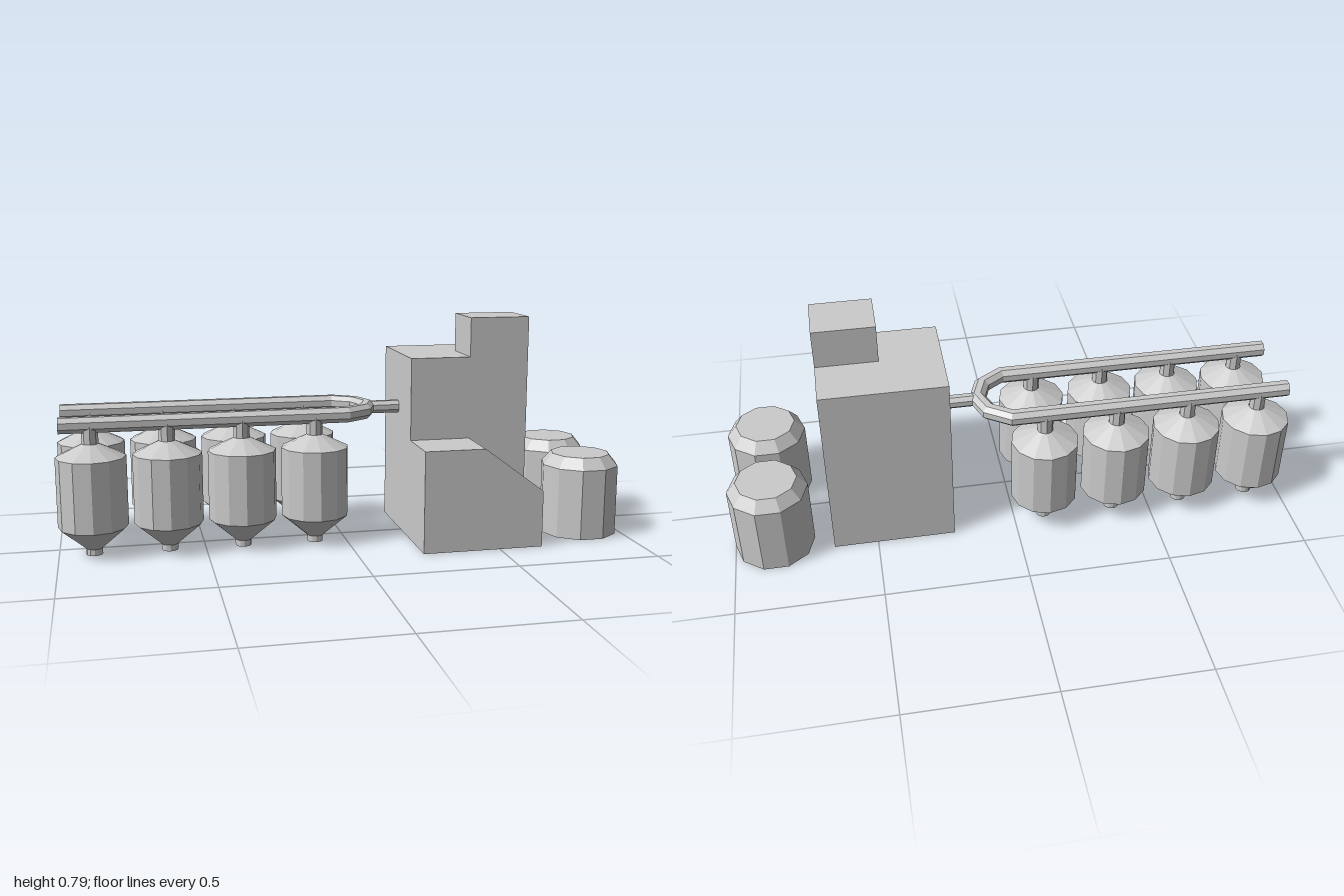
import * as THREE from 'three';

const material = new THREE.MeshStandardMaterial({ color: 0xcccccc, flatShading: true });

function add(parent, name, geometry, x = 0, y = 0, z = 0) {
  const mesh = new THREE.Mesh(geometry, material);
  mesh.name = name;
  mesh.position.set(x, y, z);
  parent.add(mesh);
  return mesh;
}

// Box given by its lower and upper corners
function block(parent, name, [x0, y0, z0], [x1, y1, z1]) {
  const geometry = new THREE.BoxGeometry(x1 - x0, y1 - y0, z1 - z0);
  return add(parent, name, geometry, (x0 + x1) / 2, (y0 + y1) / 2, (z0 + z1) / 2);
}

const lathe = (profile, sides) =>
  new THREE.LatheGeometry(profile.map(([r, y]) => new THREE.Vector2(r, y)), sides);

// Octagonal pipe with mitred corners along a level path of [x, z] points
function pipeGeometry(path, y, radius, sides = 8) {
  const points = path.map(([x, z]) => new THREE.Vector2(x, z));
  const last = points.length - 1;
  const positions = [];
  const index = [];
  points.forEach((p, i) => {
    const before = points[i].clone().sub(points[Math.max(i - 1, 0)]).normalize();
    const after = points[Math.min(i + 1, last)].clone().sub(p).normalize();
    const t = before.clone().add(after).normalize();
    const stretch = 1 / t.dot(i < last ? after : before);
    for (let j = 0; j < sides; j++) {
      const a = ((j + 0.5) / sides) * Math.PI * 2;
      const side = Math.cos(a) * radius * stretch;
      positions.push(p.x + t.y * side, y + Math.sin(a) * radius, p.y - t.x * side);
    }
  });
  for (let j = 0; j < sides; j++) {
    const k = (j + 1) % sides;
    for (let i = 0; i < last; i++) {
      const a = i * sides, b = a + sides;
      index.push(a + j, a + k, b + j, a + k, b + k, b + j);
    }
    // End caps as fans
    if (j > 0 && k > 0) {
      const e = last * sides;
      index.push(0, k, j, e, e + j, e + k);
    }
  }
  const geometry = new THREE.BufferGeometry();
  geometry.setAttribute('position', new THREE.Float32BufferAttribute(positions, 3));
  geometry.setIndex(index);
  const flat = geometry.toNonIndexed();
  flat.computeVertexNormals();
  return flat;
}

export function createModel() {
  const model = new THREE.Group();
  model.name = 'siloPlant';

  // Main building with a raised rooftop block
  block(model, 'mainBuilding', [0.225, 0, -0.24], [0.655, 0.652, 0.122]);
  block(model, 'roofBlock', [0.44, 0.652, -0.057], [0.655, 0.79, 0.122]);

  // Front annex with a sloping roof
  const annex = new THREE.Shape([
    [0.225, 0], [0.655, 0], [0.655, 0.2], [0.44, 0.36], [0.225, 0.36],
  ].map(([x, y]) => new THREE.Vector2(x, y)));
  add(model, 'annex', new THREE.ExtrudeGeometry(annex, { depth: 0.188, bevelEnabled: false }), 0, 0, 0.122);

  // Two storage tanks with chamfered tops
  const tank = lathe([[0, 0], [0.139, 0], [0.139, 0.253], [0.105, 0.293], [0, 0.293]], 10);
  for (const z of [0.139, -0.177]) {
    add(model, 'storageTank', tank, 0.861, 0, z).rotation.y = Math.PI / 2;
  }

  // Two rows of hopper silos, each with a bottom spout and a feed neck
  const silo = lathe([
    [0, 0], [0.028, 0], [0.028, 0.022], [0.119, 0.1], [0.119, 0.344], [0.028, 0.388],
  ], 12);
  const neck = new THREE.CylinderGeometry(0.028, 0.028, 0.08, 8);
  const rows = [-0.187, 0.067];
  for (const z of rows) {
    for (let i = 0; i < 4; i++) {
      const group = new THREE.Group();
      group.name = 'silo';
      group.position.set(-0.881 + i * 0.257, 0, z);
      add(group, 'siloBody', silo);
      add(group, 'feedNeck', neck, 0, 0.41, 0);
      model.add(group);
    }
  }

  // U-shaped feed pipe over both rows, joined to the building by a short pipe
  const path = [
    [-0.985, rows[0]], [0.005, rows[0]], [0.08, -0.137], [0.108, -0.06],
    [0.08, 0.017], [0.005, rows[1]], [-0.985, rows[1]],
  ];
  add(model, 'feedPipe', pipeGeometry(path, 0.453, 0.029));
  add(model, 'connectingPipe', pipeGeometry([[0.1, -0.06], [0.23, -0.06]], 0.453, 0.024));

  return model;
}
